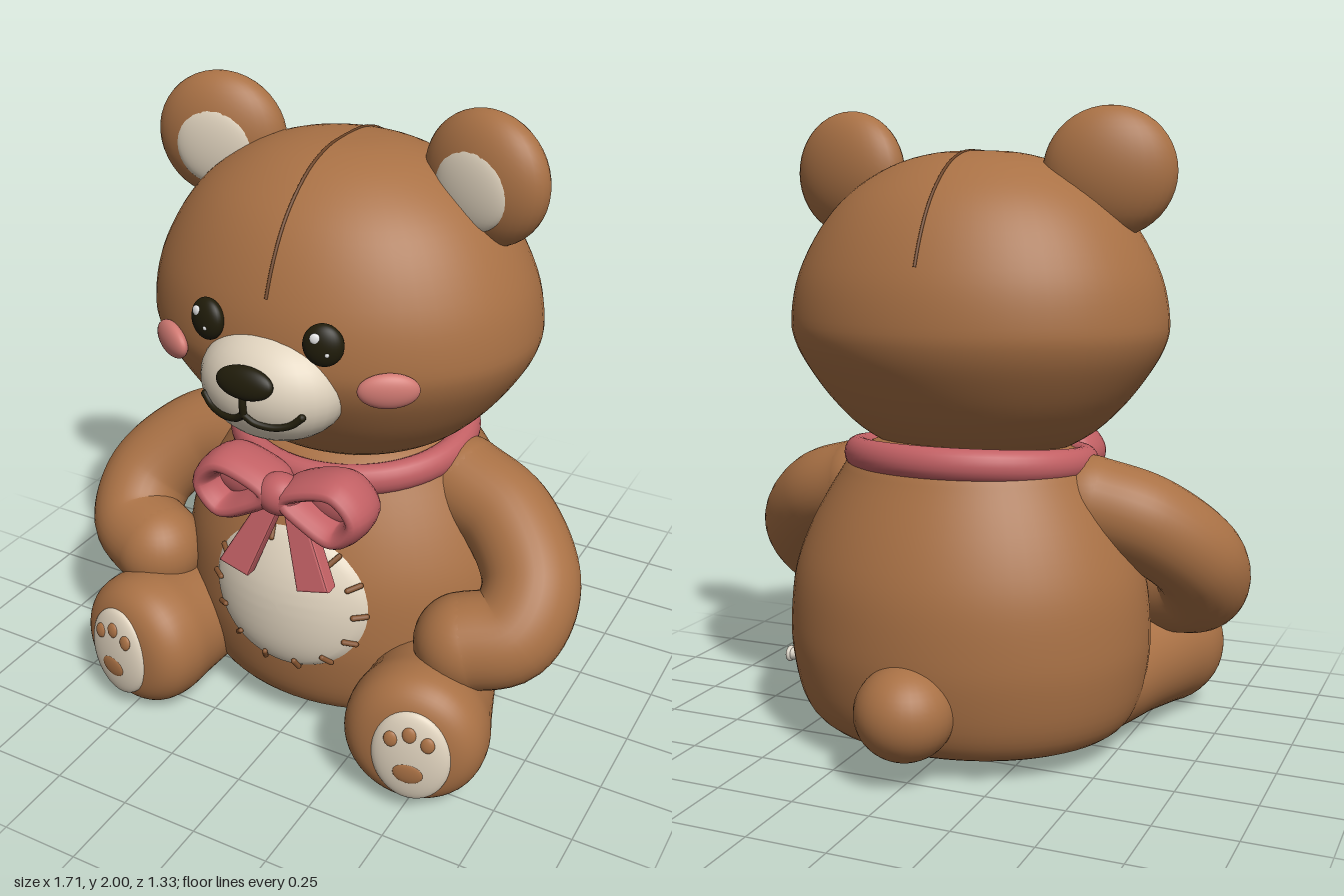
import * as THREE from 'three';

const mat = (name, color) => {
  const m = new THREE.MeshStandardMaterial({ color });
  m.name = name;
  return m;
};

const V = (x, y, z = 0) => new THREE.Vector3(x, y, z);

// Smooth profile through a few (radius, height) points
const profile = (pts, n = 48) =>
  new THREE.SplineCurve(pts.map(p => new THREE.Vector2(...p))).getPoints(n)
    .map(p => new THREE.Vector2(Math.max(p.x, 0), p.y));

const HEAD = { sx: 1, sz: 0.82, cz: 0.04, pts: profile([[0, 0.9], [0.2, 0.915], [0.36, 0.985], [0.47, 1.08],
  [0.555, 1.19], [0.603, 1.28], [0.613, 1.36], [0.586, 1.49], [0.513, 1.63], [0.415, 1.74], [0.28, 1.824], [0.14, 1.864], [0, 1.872]]) };
const BODY = { sx: 1.17, sz: 1, cz: -0.03, pts: profile([[0, 0.035], [0.2, 0.042], [0.33, 0.05], [0.425, 0.075], [0.475, 0.15],
  [0.5, 0.28], [0.504, 0.4], [0.487, 0.56], [0.437, 0.71], [0.362, 0.86], [0.315, 0.93], [0.2, 0.985], [0, 1]]) };

// Front surface z of a lathed form at (x, y)
function frontZ(form, x, y) {
  const p = form.pts;
  let i = 1;
  while (i < p.length - 1 && p[i].y < y) i++;
  const t = (y - p[i - 1].y) / (p[i].y - p[i - 1].y);
  const r = THREE.MathUtils.lerp(p[i - 1].x, p[i].x, THREE.MathUtils.clamp(t, 0, 1));
  return form.cz + form.sz * Math.sqrt(Math.max(0, r * r - (x / form.sx) ** 2));
}

export function createModel() {
  const root = new THREE.Group();
  root.name = 'teddyBear';
  const fur = mat('brown fur', 0xa97145), cream = mat('cream', 0xe0d3be), pink = mat('ribbon pink', 0xc26064);
  const blush = mat('blush', 0xd17a73), dark = mat('near black', 0x201c0a), seamBrown = mat('seam brown', 0x6b4326);
  const thread = mat('stitch brown', 0x855430), white = mat('white', 0xffffff), metal = mat('pale key', 0xdcd5c8);

  const add = (parent, name, geo, material, pos = [0, 0, 0], rot = [0, 0, 0]) => {
    const m = new THREE.Mesh(geo, material);
    m.name = name;
    m.position.set(...pos);
    m.rotation.set(...rot);
    parent.add(m);
    return m;
  };
  const ball = (parent, name, material, pos, size, rot, seg = 32) =>
    add(parent, name, new THREE.SphereGeometry(1, seg, Math.round(seg * 0.7)).scale(...size), material, pos, rot);
  const tube = (parent, name, pts, r, material, closed = false) =>
    add(parent, name, new THREE.TubeGeometry(new THREE.CatmullRomCurve3(pts, closed), 48, r, 16, closed), material);
  const lathe = (name, f) =>
    add(root, name, new THREE.LatheGeometry(f.pts, 64).scale(f.sx, 1, f.sz), fur, [0, 0, f.cz]);

  lathe('head', HEAD);
  lathe('body', BODY);
  ball(root, 'tail', fur, [0, 0.228, -0.513], [0.153, 0.145, 0.152]);

  // Seam over the crown
  const seam = [];
  for (let i = 0; i <= 20; i++) {
    const y = 1.53 + 0.34 * Math.sin(Math.PI * i / 20);
    const z = frontZ(HEAD, 0, y) - HEAD.cz;
    seam.push(V(0, y, HEAD.cz + (i === 10 ? 0 : i < 10 ? z : -z)));
  }
  tube(root, 'headSeam', seam, 0.005, seamBrown);

  // Muzzle, nose and mouth
  const muzzleZ = (x, y) => 0.47 + 0.172 * Math.sqrt(1 - (x / 0.227) ** 2 - ((y - 1.268) / 0.172) ** 2);
  ball(root, 'muzzle', cream, [0, 1.268, 0.47], [0.227, 0.172, 0.172]);
  ball(root, 'nose', dark, [0, 1.328, 0.63], [0.091, 0.048, 0.028], [-0.3, 0, 0]);
  const onMuzzle = (x, y) => V(x, y, muzzleZ(x, y) + 0.002);
  tube(root, 'mouthLine', [onMuzzle(0, 1.3), onMuzzle(0, 1.265), onMuzzle(0, 1.228)], 0.011, dark);

  // Belly patch follows the body with a soft bulge
  const patch = new THREE.RingGeometry(0, 1, 64, 16);
  const pp = patch.attributes.position;
  for (let i = 0; i < pp.count; i++) {
    const u = pp.getX(i), v = pp.getY(i), x = u * 0.28, y = 0.5 + v * 0.237;
    pp.setXYZ(i, x, y, frontZ(BODY, x, y) - 0.008 + 0.045 * Math.sqrt(Math.max(0, 1 - u * u - v * v)));
  }
  patch.computeVertexNormals();
  add(root, 'bellyPatch', patch, cream);

  // Stitches round the patch
  for (let i = 0; i < 14; i++) {
    const a = i / 14 * Math.PI * 2;
    const at = k => {
      const x = 0.28 * k * Math.cos(a), y = 0.5 + 0.237 * k * Math.sin(a);
      return V(x, y, frontZ(BODY, x, y) + 0.045 * Math.sqrt(Math.max(0, 1 - k * k)) - 0.002);
    };
    const p = at(0.85), q = at(0.97);
    const stitch = add(root, 'stitch', new THREE.CapsuleGeometry(0.009, p.distanceTo(q), 4, 8), thread,
      p.clone().add(q).multiplyScalar(0.5).toArray());
    stitch.quaternion.setFromUnitVectors(V(0, 1), q.sub(p).normalize());
  }

  // Neck ribbon and bow knot
  add(root, 'neckRibbon', new THREE.TorusGeometry(0.366, 0.044, 20, 64).rotateX(Math.PI / 2).scale(1, 1.15, 0.92), pink,
    [0, 0.915, -0.012], [0.095, 0, 0]);
  ball(root, 'bowKnot', pink, [0, 0.883, 0.46], [0.076, 0.066, 0.065]);

  for (const s of [1, -1]) {
    const side = new THREE.Group();
    side.name = s > 0 ? 'leftSide' : 'rightSide';
    root.add(side);

    // Ear
    const ear = new THREE.Group();
    ear.name = 'ear';
    ear.position.set(s * 0.436, 1.803, 0.025);
    ear.rotation.y = -s * 0.2;
    side.add(ear);
    ball(ear, 'outerEar', fur, [0, 0, 0], [0.204, 0.197, 0.1]);
    ball(ear, 'innerEar', cream, [0, -0.012, 0.07], [0.125, 0.124, 0.034]);

    // Eye, glints and cheek
    const eye = new THREE.Group();
    eye.name = 'eye';
    eye.position.set(s * 0.187, 1.438, 0.519);
    eye.rotation.set(-0.1, s * 0.25, 0);
    side.add(eye);
    ball(eye, 'eyeball', dark, [0, 0, 0], [0.059, 0.062, 0.032]);
    ball(eye, 'glint', white, [-0.018, 0.024, 0.026], [0.016, 0.016, 0.007], [0, 0, 0], 12);
    ball(eye, 'smallGlint', white, [0.018, -0.018, 0.027], [0.007, 0.007, 0.005], [0, 0, 0], 12);
    ball(side, 'cheek', blush, [s * 0.357, 1.312, frontZ(HEAD, 0.357, 1.312) + 0.012], [0.088, 0.053, 0.03], [0, s * 0.55, 0]);

    // Half of the smile
    const smile = [[0, 1.235], [0.03, 1.213], [0.085, 1.204], [0.13, 1.216], [0.158, 1.24]];
    tube(side, 'smile', smile.map(([x, y]) => onMuzzle(s * x, y)), 0.011, dark);
    ball(side, 'smileEnd', dark, onMuzzle(s * 0.158, 1.24).toArray(), [0.012, 0.012, 0.012], [0, 0, 0], 12);

    // Arm with rounded ends
    const arm = [V(s * 0.39, 0.793, -0.005), V(s * 0.565, 0.735, 0.045), V(s * 0.7, 0.6, 0.165),
      V(s * 0.68, 0.49, 0.275), V(s * 0.555, 0.455, 0.335)];
    add(side, 'arm', new THREE.TubeGeometry(new THREE.CatmullRomCurve3(arm), 40, 0.15, 32), fur);
    ball(side, 'shoulder', fur, arm[0].toArray(), [0.15, 0.15, 0.15]);
    ball(side, 'hand', fur, arm[4].toArray(), [0.15, 0.15, 0.15]);

    // Leg and foot, splayed outward
    const leg = new THREE.Group();
    leg.name = 'leg';
    leg.position.set(s * 0.515, 0.232, 0.625);
    leg.rotation.set(-0.05, s * 0.2, 0, 'YXZ');
    side.add(leg);
    const legPts = profile([[0, -0.7], [0.15, -0.69], [0.172, -0.56], [0.184, -0.4], [0.207, -0.23],
      [0.222, -0.13], [0.205, -0.05], [0.14, 0], [0, 0.016]]);
    add(leg, 'legAndFoot', new THREE.LatheGeometry(legPts, 48).rotateX(Math.PI / 2), fur);
    ball(leg, 'sole', cream, [s * 0.012, -0.01, 0], [0.122, 0.155, 0.036]);
    ball(leg, 'pawPad', fur, [s * 0.012, -0.053, 0.031], [0.047, 0.036, 0.009], [0.06, 0, 0], 20);
    for (const [x, y] of [[-0.056, 0.058], [0, 0.082], [0.056, 0.058]])
      ball(leg, 'toePad', fur, [s * 0.012 + x, y, 0.027], [0.022, 0.025, 0.01], [-0.15, 0, 0], 16);

    // Bow loop with its soft inside, and hanging ribbon end
    const loop = [[0.03, 0.885], [0.12, 0.935], [0.205, 0.942], [0.264, 0.87], [0.2, 0.792], [0.1, 0.828]];
    const bow = tube(side, 'bowLoop', loop.map(([x, y]) => V(s * x, y)), 0.036, pink, true);
    bow.geometry.scale(1, 1, 2.5);
    bow.position.z = 0.43;
    ball(side, 'bowInside', pink, [s * 0.16, 0.868, 0.41], [0.1, 0.065, 0.035]);
    const shape = new THREE.Shape([[0, 0.87], [0.05, 0.87], [0.183, 0.625], [0.092, 0.605]]
      .map(([x, y]) => new THREE.Vector2(s * x, y)));
    const end = new THREE.ExtrudeGeometry(shape, { depth: 0.036, bevelSize: 0.008, bevelThickness: 0.008, bevelSegments: 2 });
    const ep = end.attributes.position;
    for (let i = 0; i < ep.count; i++) ep.setZ(i, ep.getZ(i) + 0.405 + (0.87 - ep.getY(i)) * 0.28);
    end.computeVertexNormals();
    add(side, 'ribbonEnd', end, pink);
  }

  // Small flared key socket on the left flank
  add(root, 'keyStem', new THREE.CylinderGeometry(0.012, 0.022, 0.07, 16).rotateZ(Math.PI / 2), metal, [0.593, 0.205, -0.1]);
  add(root, 'keyRim', new THREE.TorusGeometry(0.019, 0.008, 10, 24).rotateY(Math.PI / 2), metal, [0.626, 0.205, -0.1]);
  return root;
}
